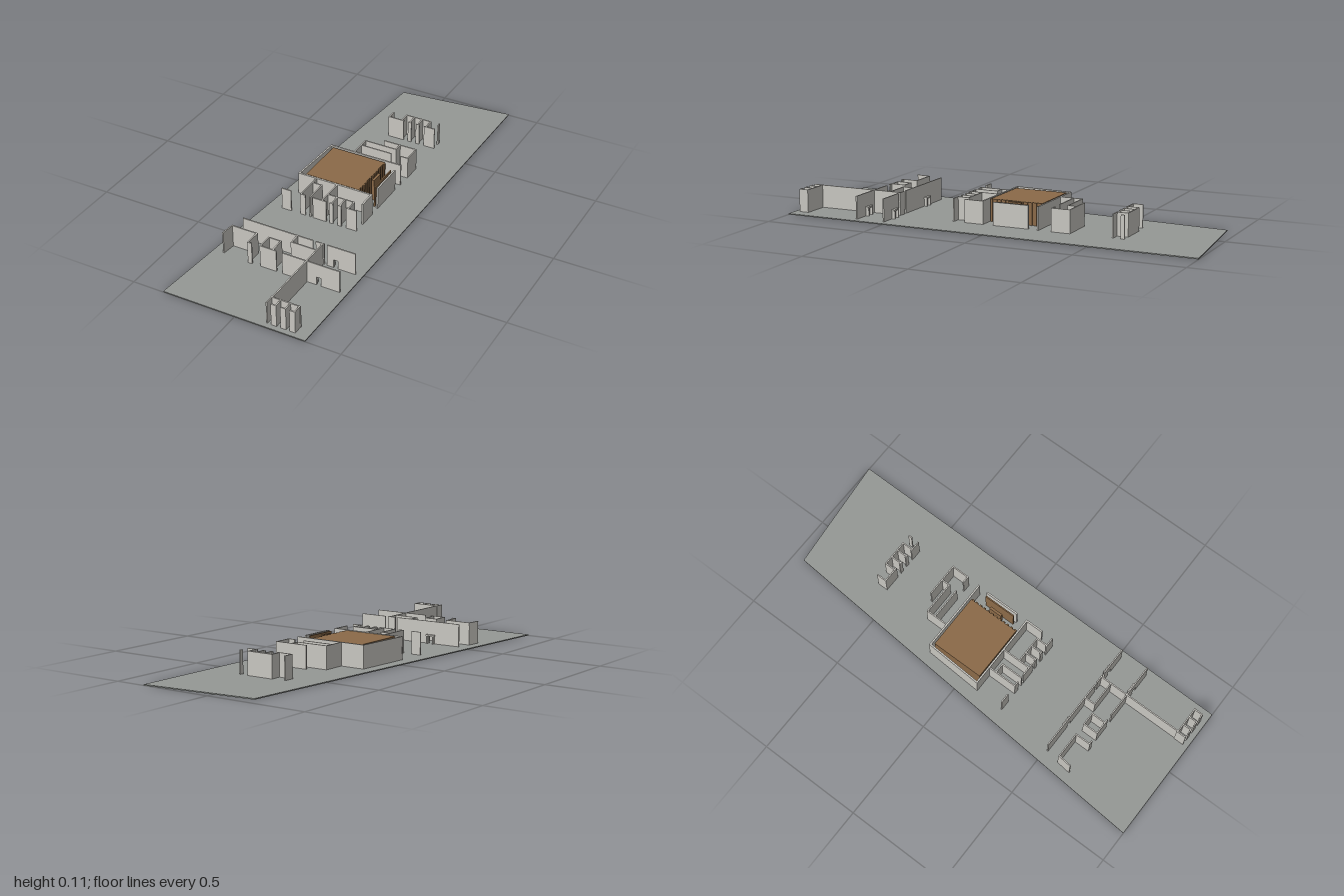
import * as THREE from 'three';

export function createModel() {
  const model = new THREE.Group();
  const stone = new THREE.MeshStandardMaterial({ color: 0xc8c6c0 });
  stone.name = 'pale wall';
  const ground = new THREE.MeshStandardMaterial({ color: 0x959895 });
  ground.name = 'grey floor';
  const wood = new THREE.MeshStandardMaterial({ color: 0x8b6a48 });
  wood.name = 'brown wood';

  const BASE = 0.005, TOP = 0.112, T = 0.006;

  // Upright panel running between two plan points
  function panel(parent, name, x1, z1, x2, z2, t = T, mat = stone, y0 = BASE, y1 = TOP) {
    const dx = x2 - x1, dz = z2 - z1;
    const mesh = new THREE.Mesh(new THREE.BoxGeometry(Math.hypot(dx, dz) + t, y1 - y0, t), mat);
    mesh.position.set((x1 + x2) / 2, (y0 + y1) / 2, (z1 + z2) / 2);
    mesh.rotation.y = -Math.atan2(dz, dx);
    mesh.name = name;
    parent.add(mesh);
  }
  function wallGroup(name, walls, t) {
    const group = new THREE.Group();
    group.name = name;
    walls.forEach(w => panel(group, 'wall', ...w, t));
    model.add(group);
    return group;
  }

  // Floor plate, a skewed quadrilateral
  const outline = new THREE.Shape([[-0.35, -1], [0.335, -1], [0.35, 1], [-0.203, 0.945]]
    .map(p => new THREE.Vector2(...p)));
  const floor = new THREE.Mesh(new THREE.ExtrudeGeometry(outline, { depth: BASE, bevelEnabled: false }), ground);
  floor.rotation.x = -Math.PI / 2;
  floor.name = 'floor';
  model.add(floor);

  // Row of stalls at the back
  const stallX = [-0.013, 0.03, 0.072, 0.115];
  const back = wallGroup('backStalls', [
    [-0.08, -0.59, -0.08, -0.545], [-0.08, -0.545, -0.005, -0.545],
    [-0.013, -0.597, 0.03, -0.597], [0.03, -0.597, 0.115, -0.597],
    [0.115, -0.545, 0.158, -0.545], [0.16, -0.597, 0.16, -0.585],
  ]);
  stallX.forEach(x => {
    panel(back, 'stallDivider', x, -0.597, x, -0.545);
    panel(back, 'stallPost', x - 0.006, -0.545, x + 0.006, -0.545);
  });

  // Rooms behind the hall
  wallGroup('rearRooms', [
    [0, -0.342, 0.162, -0.342], [0.162, -0.342, 0.162, -0.257], [0.13, -0.257, 0.162, -0.257],
    [0.08, -0.342, 0.08, -0.3], [-0.08, -0.3, 0.08, -0.3],
    [-0.08, -0.3, -0.08, -0.193], [-0.08, -0.257, 0.075, -0.257],
  ]);

  // Central hall
  wallGroup('hallWalls', [
    [-0.2, -0.19, 0.158, -0.19], [-0.2, -0.19, -0.215, 0.086], [-0.215, 0.086, 0.155, 0.086],
    [0.155, -0.137, 0.155, 0.028], [0.155, 0.086, 0.155, 0.17],
  ], 0.008);
  const hall = new THREE.Group();
  hall.name = 'woodenHall';
  const block = new THREE.Mesh(new THREE.BoxGeometry(0.27, 0.104, 0.255), wood);
  block.position.set(-0.05, 0.058, -0.05);
  block.name = 'woodenBlock';
  hall.add(block);
  for (let i = 0; i < 12; i++) {
    const z = -0.17 + i * 0.0218;
    panel(hall, 'slat', 0.088, z, 0.088, z + 0.006, 0.005, wood, BASE, 0.11);
  }
  panel(hall, 'woodenScreen', 0.138, -0.13, 0.138, 0.022, T, wood, BASE, 0.11);
  panel(hall, 'woodenPillar', 0.106, -0.078, 0.106, -0.026, 0.012, wood, BASE, 0.11);
  model.add(hall);

  // Rooms and stalls in front of the hall
  const front = wallGroup('frontStalls', [
    [-0.22, 0.23, -0.178, 0.23], [-0.125, 0.09, -0.125, 0.23], [-0.125, 0.23, -0.104, 0.23],
    [-0.125, 0.125, -0.08, 0.125], [-0.077, 0.125, -0.077, 0.23], [-0.06, 0.23, 0.002, 0.23],
    [-0.018, 0.09, -0.018, 0.23], [-0.013, 0.175, 0.115, 0.175], [0.112, 0.23, 0.155, 0.23],
  ]);
  stallX.slice(1).forEach(x => {
    panel(front, 'stallDivider', x, 0.175, x, 0.23);
    panel(front, 'stallPost', x - 0.006, 0.23, x + 0.006, 0.23);
  });

  // Front block of rooms
  const entry = wallGroup('entryRooms', [
    [0.022, 0.512, 0.022, 0.565], [0.022, 0.565, 0.145, 0.565], [0.145, 0.512, 0.145, 0.93],
    [-0.08, 0.582, -0.08, 0.65], [-0.02, 0.582, -0.02, 0.65], [-0.08, 0.582, -0.02, 0.582],
    [-0.265, 0.582, -0.14, 0.582], [-0.265, 0.582, -0.272, 0.645], [-0.14, 0.582, -0.14, 0.655],
    [-0.14, 0.655, -0.125, 0.655],
  ]);

  // Wall along x with a low doorway and a frame set on its back face
  function doorWall(x1, x2, z, doorX) {
    const h = 0.045, half = 0.014;
    panel(entry, 'wall', x1, z, doorX - half, z);
    panel(entry, 'wall', doorX + half, z, x2, z);
    panel(entry, 'lintel', doorX - half, z, doorX + half, z, T, stone, h, TOP);
    for (const s of [-1, 1])
      panel(entry, 'doorJamb', doorX + s * 0.017, z - 0.014, doorX + s * 0.017, z, T, stone, BASE, h + 0.003);
    panel(entry, 'doorHead', doorX - 0.017, z - 0.009, doorX + 0.017, z - 0.009, 0.013, stone, h - 0.004, h + 0.003);
  }
  doorWall(-0.25, 0.095, 0.512, -0.098);
  doorWall(0.17, 0.302, 0.512, 0.21);
  panel(entry, 'wall', 0.115, 0.512, 0.15, 0.512);
  panel(entry, 'wall', -0.08, 0.652, -0.005, 0.652);
  panel(entry, 'wall', 0.03, 0.652, 0.145, 0.652);
  doorWall(0.145, 0.302, 0.652, 0.205);

  // Stalls at the front edge
  const end = wallGroup('endStalls', [[0.142, 0.932, 0.275, 0.932], [0.142, 0.93, 0.142, 0.972]]);
  [0.185, 0.23, 0.273].forEach(x => {
    panel(end, 'stallDivider', x, 0.932, x, 0.973);
    panel(end, 'stallFront', x - 0.02, 0.973, x, 0.973);
  });
  return model;
}
